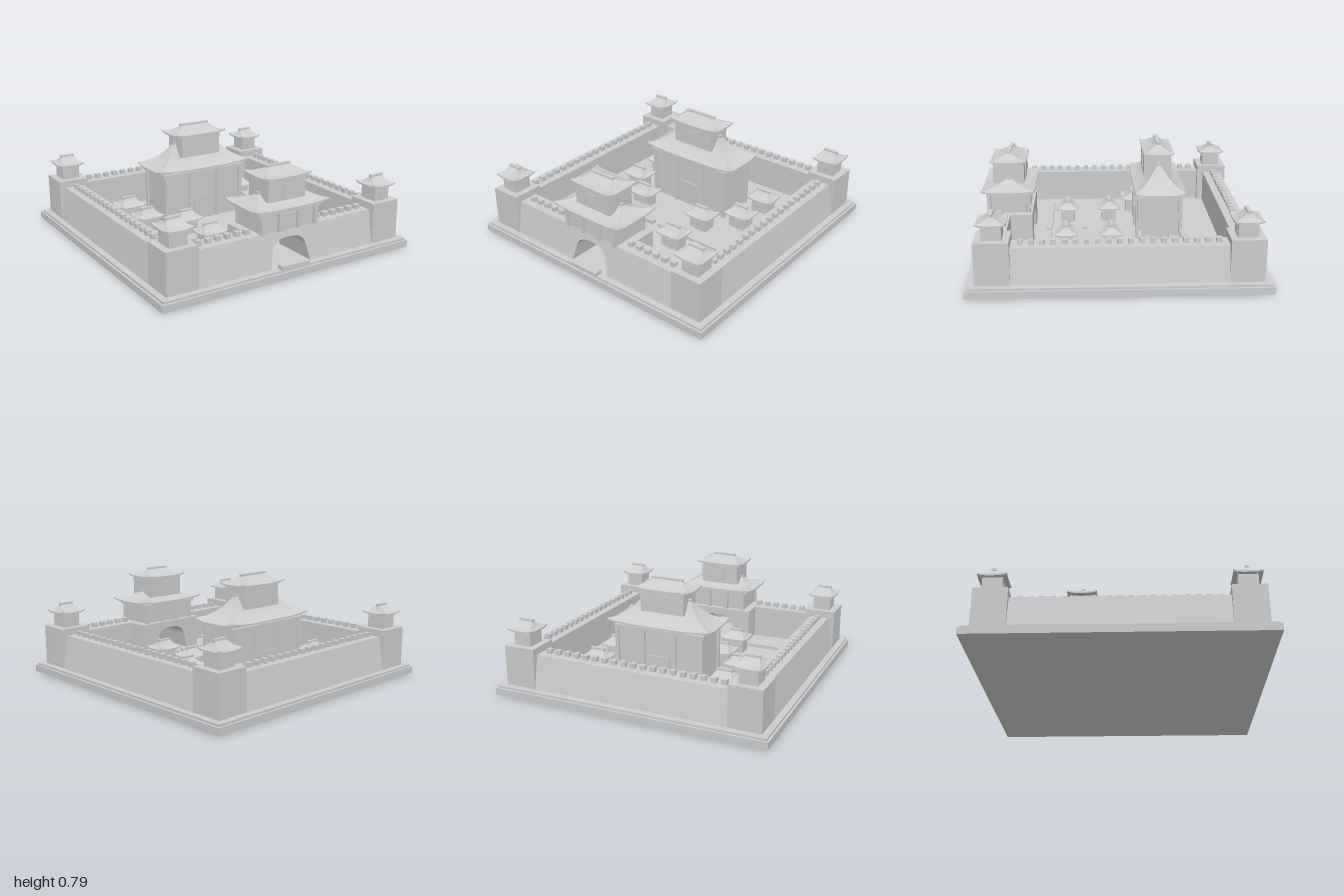
import * as THREE from 'three';

const stone = new THREE.MeshStandardMaterial({ color: 0xcccccc });
stone.name = 'pale stone';
const GROUND = 0.065, WALL_TOP = 0.305;

function add(parent, name, geometry, x = 0, y = 0, z = 0) {
  const mesh = new THREE.Mesh(geometry, stone);
  mesh.name = name;
  mesh.position.set(x, y, z);
  parent.add(mesh);
  return mesh;
}

// Box given by its centre in x and z and its bottom and top in y
function block(parent, name, w, d, y0, y1, x = 0, z = 0) {
  return add(parent, name, new THREE.BoxGeometry(w, y1 - y0, d), x, (y0 + y1) / 2, z);
}

// Four-sided skin through rectangular rings; corners lift upward
function ringSkin(positions, indices, rings) {
  const N = 14;
  for (let k = 0; k < 4; k++) {
    const start = positions.length / 3;
    for (const r of rings) {
      const across = k % 2 ? r.hz : r.hx, out = k % 2 ? r.hx : r.hz;
      for (let i = 0; i <= N; i++) {
        const u = (i / N) * 2 - 1, p = u * across;
        const y = r.y + r.lift * Math.abs(u) ** 4;
        const [x, z] = [[p, out], [out, -p], [-p, -out], [-out, p]][k];
        positions.push(x, y, z);
      }
    }
    for (let j = 0; j < rings.length - 1; j++) {
      for (let i = 0; i < N; i++) {
        const a = start + j * (N + 1) + i, b = a + 1, d = a + N + 1, c = d + 1;
        indices.push(a, b, c, a, c, d);
      }
    }
  }
}

// Concave hipped roof with upturned corners, fascia, soffit and ridge beam
function roof(parent, name, { hx, hz, ridge, y0, y1, lift, x = 0, z = 0, thick = 0.012 }) {
  const group = new THREE.Group();
  group.name = name;
  group.position.set(x, y0, z);
  const slope = [], rows = 8, rise = y1 - y0;
  for (let j = 0; j <= rows; j++) {
    const s = j / rows;
    slope.push({
      hx: hx + (ridge - hx) * s,
      hz: hz + (0.012 - hz) * s,
      y: rise * (0.35 * s + 0.65 * s ** 2.2),
      lift: lift * (1 - s) ** 2,
    });
  }
  const rim = { hx, hz, y: -thick, lift };
  const positions = [], indices = [];
  ringSkin(positions, indices, slope);
  ringSkin(positions, indices, [rim, slope[0]]);
  ringSkin(positions, indices, [{ hx: hx * 0.5, hz: hz * 0.5, y: -thick, lift: 0 }, rim]);
  const geometry = new THREE.BufferGeometry();
  geometry.setAttribute('position', new THREE.Float32BufferAttribute(positions, 3));
  geometry.setIndex(indices);
  geometry.computeVertexNormals();
  add(group, 'roofTiles', geometry);
  block(group, 'ridgeBeam', ridge * 2 + 0.01, 0.026, rise - 0.012, rise + 0.012);
  parent.add(group);
}

// Small room with a door on the front and a hipped roof
function hut(parent, name, x, z, y, hx, hz) {
  const group = new THREE.Group();
  group.name = name;
  group.position.set(x, y, z);
  const bx = hx - 0.03, bz = hz - 0.03;
  block(group, 'hutBody', bx * 2, bz * 2, 0, 0.105);
  block(group, 'hutDoor', 0.04, 0.008, 0, 0.07, 0, bz);
  roof(group, 'hutRoof', { hx, hz, ridge: 0.048, y0: 0.112, y1: 0.163, lift: 0.012 });
  parent.add(group);
}

// Wall run, optionally pierced by the gate arch; the outer face leans inward
function wallGeometry(half, depth, arch, batter) {
  const s = new THREE.Shape();
  s.moveTo(-half, GROUND);
  if (arch) {
    s.lineTo(-0.16, GROUND);
    s.lineTo(-0.135, 0.18);
    s.bezierCurveTo(-0.12, 0.235, -0.08, 0.255, 0, 0.255);
    s.bezierCurveTo(0.08, 0.255, 0.12, 0.235, 0.135, 0.18);
    s.lineTo(0.16, GROUND);
  }
  s.lineTo(half, GROUND);
  s.lineTo(half, WALL_TOP);
  s.lineTo(-half, WALL_TOP);
  s.closePath();
  const g = new THREE.ExtrudeGeometry(s, { depth, bevelEnabled: false, curveSegments: 10 });
  const p = g.attributes.position;
  for (let i = 0; i < p.count; i++) {
    if (p.getZ(i) > depth / 2) {
      p.setZ(i, depth - batter * (p.getY(i) - GROUND) / (WALL_TOP - GROUND));
    }
  }
  g.computeVertexNormals();
  return g;
}

// Columns and a beam along the front and back of a hall storey
function frame(parent, hx, hz, y0, y1, z, columns) {
  for (const side of [-1, 1]) {
    for (const x of columns) block(parent, 'column', 0.026, 0.026, y0, y1, x, z + side * hz);
    block(parent, 'beam', hx * 2 + 0.05, 0.03, y1 - 0.02, y1, 0, z + side * hz);
  }
}

export function createModel() {
  const model = new THREE.Group();
  model.name = 'walledPalace';

  // Stepped base and entrance step
  block(model, 'base', 2, 2, 0, 0.05);
  block(model, 'baseTop', 1.97, 1.97, 0.05, GROUND);
  block(model, 'entranceStep', 0.22, 0.06, GROUND, 0.095, 0, 0.97);

  // Walls with battlements, the first one holding the gate
  for (let k = 0; k < 4; k++) {
    const side = new THREE.Group();
    side.name = ['frontWall', 'leftWall', 'backWall', 'rightWall'][k];
    side.rotation.y = k * Math.PI / 2;
    add(side, 'wall', wallGeometry(0.75, 0.185, k === 0, 0.045), 0, 0, 0.755);
    for (let i = -9; i <= 9; i++) {
      if (k === 0 && Math.abs(i) < 4) continue;
      block(side, 'merlon', 0.037, 0.037, WALL_TOP, 0.338, i * 0.072, 0.827);
    }
    model.add(side);
  }

  // Corner towers
  for (const sx of [-1, 1]) {
    for (const sz of [-1, 1]) {
      block(model, 'cornerTower', 0.23, 0.23, GROUND, 0.355, sx * 0.825, sz * 0.825);
      hut(model, 'watchHut', sx * 0.825, sz * 0.825, 0.355, 0.095, 0.097);
    }
  }

  // Gatehouse over the arch
  const gate = new THREE.Group();
  gate.name = 'gatehouse';
  const gz = 0.768;
  add(gate, 'gateBlock', wallGeometry(0.28, 0.155, true, 0), 0, 0, 0.6);
  block(gate, 'gateLowerRoom', 0.44, 0.25, WALL_TOP, 0.47, 0, gz);
  frame(gate, 0.225, 0.14, WALL_TOP, 0.455, gz, [-0.215, -0.075, 0.075, 0.215]);
  roof(gate, 'gateLowerRoof', { hx: 0.29, hz: 0.188, ridge: 0.16, y0: 0.472, y1: 0.54, lift: 0.016, z: gz });
  block(gate, 'gateUpperRoom', 0.3, 0.22, 0.5, 0.662, 0, gz);
  roof(gate, 'gateUpperRoof', { hx: 0.18, hz: 0.128, ridge: 0.088, y0: 0.662, y1: 0.71, lift: 0.012, z: gz });
  for (const s of [-1, 1]) {
    block(gate, 'gateLowerDoor', 0.12, 0.01, WALL_TOP, 0.415, 0, gz + s * 0.126);
    block(gate, 'gateUpperDoor', 0.075, 0.01, 0.52, 0.61, 0, gz + s * 0.111);
  }
  model.add(gate);

  // Main hall
  const hall = new THREE.Group();
  hall.name = 'mainHall';
  const hz = -0.305;
  block(hall, 'hallLowerRoom', 0.64, 0.28, GROUND, 0.47, 0, hz);
  frame(hall, 0.32, 0.145, GROUND, 0.45, hz, [-0.325, -0.12, 0.12, 0.325]);
  roof(hall, 'hallLowerRoof', { hx: 0.39, hz: 0.18, ridge: 0.18, y0: 0.472, y1: 0.64, lift: 0.02, z: hz });
  block(hall, 'hallUpperRoom', 0.33, 0.195, 0.55, 0.715, 0, hz + 0.007);
  roof(hall, 'hallUpperRoof', { hx: 0.21, hz: 0.11, ridge: 0.115, y0: 0.717, y1: 0.773, lift: 0.014, z: hz + 0.003 });
  for (const s of [-1, 1]) {
    block(hall, 'hallDoor', 0.16, 0.012, GROUND, 0.25, 0, hz + s * 0.142);
    block(hall, 'hallUpperDoor', 0.08, 0.01, 0.58, 0.67, 0, hz + 0.007 + s * 0.098);
  }
  model.add(hall);

  // Courtyard houses and low walls, mirrored left and right
  for (const s of [-1, 1]) {
    for (const [x, z] of [[0.495, -0.445], [0.493, -0.15], [0.277, 0.04], [0.27, 0.36]]) {
      hut(model, 'courtyardHouse', s * x, z, GROUND, 0.1, 0.082);
    }
    for (const z of [0.23, 0.495]) {
      block(model, 'lowWall', 0.64, 0.04, GROUND, 0.09, s * 0.345, z);
    }
  }
  return model;
}
